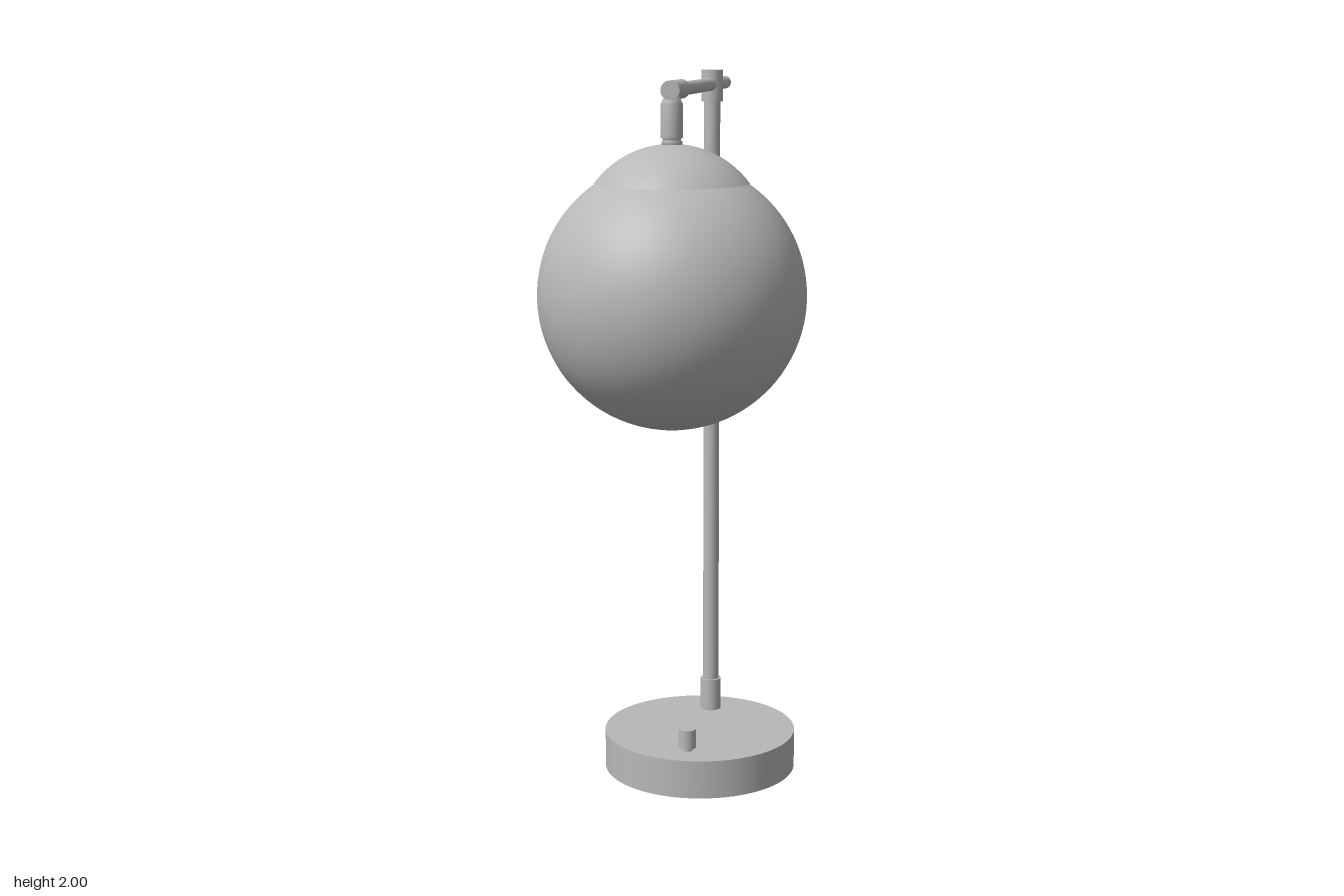
import * as THREE from 'three';

const metal = new THREE.MeshStandardMaterial({ color: 0xb8b8b8 });
metal.name = 'satin grey';
metal.side = THREE.DoubleSide;

const BASE_Z = -0.185, POLE_Z = -0.36, GLOBE_Z = 0.21, ARM_Y = 1.96;

export function createModel() {
  const group = new THREE.Group();

  const add = (name, geometry, x, y, z) => {
    const mesh = new THREE.Mesh(geometry, metal);
    mesh.name = name;
    mesh.position.set(x, y, z);
    group.add(mesh);
    return mesh;
  };
  // Upright cylinder between two heights
  const upright = (name, r, y0, y1, z, sides = 32) =>
    add(name, new THREE.CylinderGeometry(r, r, y1 - y0, sides), 0, (y0 + y1) / 2, z);
  // Cylinder lying along z
  const lying = (name, r, z0, z1) => {
    const geometry = new THREE.CylinderGeometry(r, r, z1 - z0, 32).rotateX(Math.PI / 2);
    return add(name, geometry, 0, ARM_Y, (z0 + z1) / 2);
  };
  const lathe = (name, points, z) =>
    add(name, new THREE.LatheGeometry(points.map(p => new THREE.Vector2(...p)), 32), 0, 0, z);

  // Base and dimmer knob
  upright('base', 0.276, 0, 0.11, BASE_Z, 96);
  upright('knobStem', 0.015, 0.11, 0.125, 0.005);
  upright('knob', 0.025, 0.12, 0.175, 0.005);

  // Pole with its two collars
  upright('pole', 0.023, 0.11, 1.99, POLE_Z);
  upright('lowerCollar', 0.03, 0.11, 0.205, POLE_Z);
  upright('upperCollar', 0.03, 1.912, 2, POLE_Z);

  // Horizontal arm and end sleeve
  lying('arm', 0.018, -0.565, 0.1);
  lying('armSleeve', 0.025, 0.088, 0.233);

  // Lamp socket hanging from the sleeve
  lathe('socket', [
    [0, 1.815], [0.027, 1.815], [0.027, 1.832], [0.024, 1.832], [0.024, 1.84],
    [0.029, 1.84], [0.029, 1.925], [0.022, 1.938], [0.018, 1.95], [0, 1.95],
  ], GLOBE_Z);

  // Globe shade and the shallow dome covering its top
  add('globe', new THREE.SphereGeometry(0.35, 64, 48), 0, 1.435, GLOBE_Z);
  const domeAngle = Math.asin(0.2 / 0.25);
  add('domeCap', new THREE.SphereGeometry(0.25, 64, 16, 0, Math.PI * 2, 0, domeAngle), 0, 1.575, GLOBE_Z);

  return group;
}
